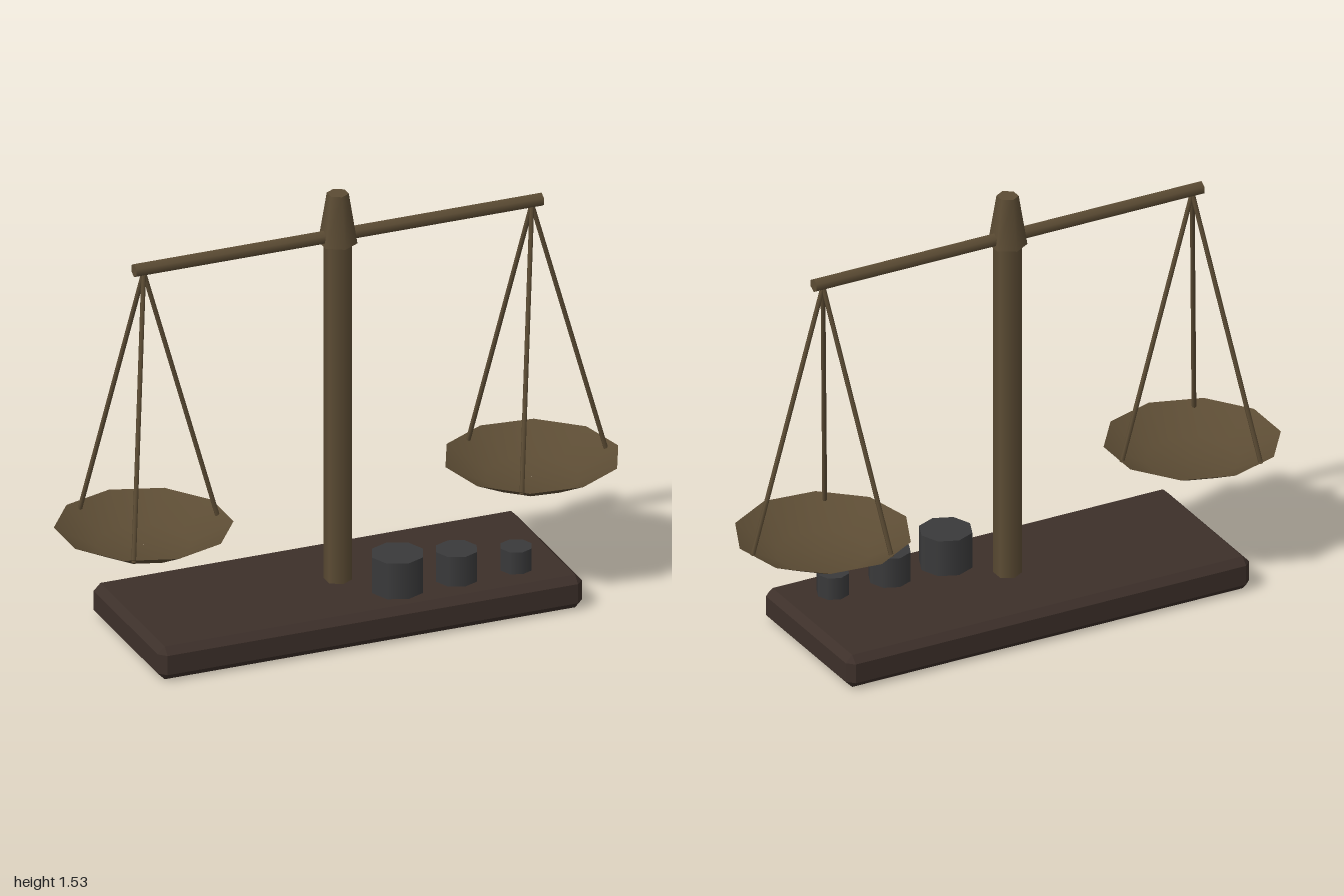
import * as THREE from 'three';
import { ConvexGeometry } from 'three/addons/geometries/ConvexGeometry.js';

const brass = new THREE.MeshStandardMaterial({ color: 0x5c4c34 });
const pan = new THREE.MeshStandardMaterial({ color: 0x5c4c34, side: THREE.DoubleSide });
const wood = new THREE.MeshStandardMaterial({ color: 0x3d302a, flatShading: true });
const iron = new THREE.MeshStandardMaterial({ color: 0x3a3a3b });

const CX = -0.007; // the post stands slightly off the middle

function add(parent, name, geometry, material, x = 0, y = 0, z = 0) {
  const mesh = new THREE.Mesh(geometry, material);
  mesh.name = name;
  mesh.position.set(x, y, z);
  parent.add(mesh);
  return mesh;
}

// Box with every edge cut at 45 degrees
function chamferedBox(w, h, d, c) {
  const points = [];
  for (const sx of [-1, 1]) for (const sy of [-1, 1]) for (const sz of [-1, 1]) {
    for (let full = 0; full < 3; full++) {
      const inset = [c, c, c];
      inset[full] = 0;
      points.push(new THREE.Vector3(
        sx * (w / 2 - inset[0]), sy * (h / 2 - inset[1]), sz * (d / 2 - inset[2])));
    }
  }
  return new ConvexGeometry(points);
}

// Thin rod between two points
function rod(parent, name, a, b, radius) {
  const dir = b.clone().sub(a);
  const mesh = add(parent, name, new THREE.CylinderGeometry(radius, radius, dir.length(), 6), brass);
  mesh.position.copy(a).add(b).multiplyScalar(0.5);
  mesh.quaternion.setFromUnitVectors(new THREE.Vector3(0, 1, 0), dir.normalize());
}

// Ten-sided dish hanging from three rods
function hangingPan(name, x, turn) {
  const group = new THREE.Group();
  group.name = name;
  group.position.x = x;
  const profile = [[0.001, 0.37], [0.16, 0.37], [0.3, 0.443]].map(p => new THREE.Vector2(...p));
  add(group, 'dish', new THREE.LatheGeometry(profile, 10), pan).rotation.y = turn;
  const top = new THREE.Vector3(0, 1.365, 0);
  for (let i = 0; i < 3; i++) {
    const a = i * Math.PI * 2 / 3;
    rod(group, 'suspensionRod', top,
      new THREE.Vector3(0.267 * Math.cos(a), 0.425, 0.267 * Math.sin(a)), 0.008);
  }
  return group;
}

export function createModel() {
  const model = new THREE.Group();
  model.name = 'balanceScale';

  // Base, post and tapered cap
  add(model, 'base', chamferedBox(1.53, 0.12, 0.6, 0.025), wood, CX, 0.06);
  add(model, 'post', new THREE.CylinderGeometry(0.048, 0.048, 1.25, 6), brass, CX, 0.735);
  add(model, 'postCap', new THREE.CylinderGeometry(0.037, 0.066, 0.18, 6), brass, CX, 1.44);

  // Beam
  const beam = add(model, 'beam', new THREE.CylinderGeometry(0.024, 0.024, 1.47, 6), brass, CX, 1.377);
  beam.rotation.set(Math.PI / 2, 0, Math.PI / 2, 'ZYX');
  beam.rotation.set(0, 0, Math.PI / 2);
  beam.geometry.rotateY(Math.PI / 2);

  // Pans
  model.add(hangingPan('rightPan', CX - 0.7, 0));
  model.add(hangingPan('leftPan', CX + 0.7, THREE.MathUtils.degToRad(12)));

  // Weights: x, radius, height
  for (const [x, r, h] of [[0.145, 0.092, 0.13], [0.358, 0.073, 0.108], [0.573, 0.056, 0.08]]) {
    add(model, 'weight', new THREE.CylinderGeometry(r, r, h, 8), iron, x, 0.12 + h / 2, 0.15);
  }
  return model;
}
